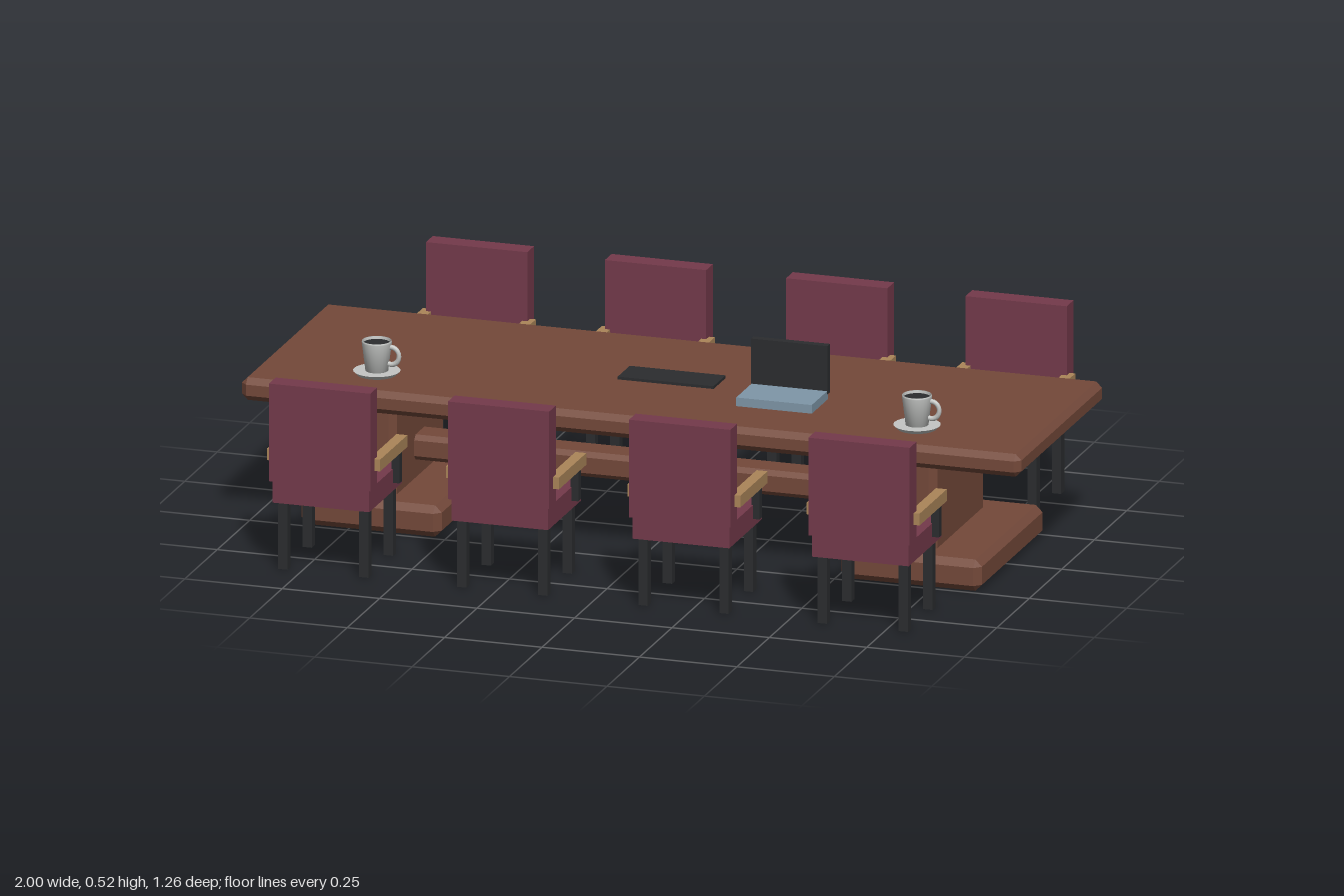
import * as THREE from 'three';
import { ConvexGeometry } from 'three/addons/geometries/ConvexGeometry.js';

const mat = (name, color) => Object.assign(new THREE.MeshStandardMaterial({ color }), { name });

export function createModel() {
  const wood = mat('brown wood', 0x74493a);
  const fabric = mat('maroon fabric', 0x743a4b);
  const oak = mat('light wood', 0xab8559);
  const black = mat('black', 0x2b2d2f);
  const steel = mat('blue grey', 0x7f97a8);
  const china = mat('pale china', 0xc4c6c4);

  const add = (parent, name, geometry, material, x = 0, y = 0, z = 0) => {
    const mesh = new THREE.Mesh(geometry, material);
    mesh.name = name;
    mesh.position.set(x, y, z);
    parent.add(mesh);
    return mesh;
  };

  // Plain box given by its limits on each axis
  const box = (parent, name, material, [x0, x1], [y0, y1], [z0, z1]) =>
    add(parent, name, new THREE.BoxGeometry(x1 - x0, y1 - y0, z1 - z0), material,
      (x0 + x1) / 2, (y0 + y1) / 2, (z0 + z1) / 2);

  // Box with every edge cut at 45 degrees
  const chamferBox = (w, h, d, c) => {
    const points = [];
    for (const sx of [-1, 1]) for (const sy of [-1, 1]) for (const sz of [-1, 1]) {
      const x = w / 2, y = h / 2, z = d / 2;
      for (const [px, py, pz] of [[x, y - c, z - c], [x - c, y, z - c], [x - c, y - c, z]]) {
        points.push(new THREE.Vector3(sx * px, sy * py, sz * pz));
      }
    }
    return new ConvexGeometry(points);
  };

  const model = new THREE.Group();
  model.name = 'meetingTable';

  // Table: top, two pedestals on wide feet, and a stretcher
  const table = new THREE.Group();
  table.name = 'table';
  model.add(table);
  add(table, 'tableTop', chamferBox(2, 0.058, 0.65, 0.015), wood, 0, 0.356, 0);
  for (const side of [-1, 1]) {
    add(table, 'pedestal', chamferBox(0.093, 0.275, 0.386, 0.017), wood, side * 0.693, 0.2, 0);
    add(table, 'foot', chamferBox(0.36, 0.08, 0.5, 0.017), wood, side * 0.693, 0.04, 0);
  }
  add(table, 'stretcher', chamferBox(1.34, 0.064, 0.09, 0.012), wood, 0, 0.158, 0);

  // Chair with its back towards +z
  const makeChair = () => {
    const chair = new THREE.Group();
    chair.name = 'chair';
    box(chair, 'seat', fabric, [-0.124, 0.124], [0.174, 0.23], [0.368, 0.62]);
    box(chair, 'backrest', fabric, [-0.13, 0.13], [0.231, 0.48], [0.578, 0.63]);
    for (const s of [-1, 1]) {
      for (const z of [0.401, 0.589]) {
        add(chair, 'leg', new THREE.BoxGeometry(0.024, 0.175, 0.024), black, s * 0.104, 0.0875, z);
      }
      add(chair, 'armrest', new THREE.BoxGeometry(0.028, 0.03, 0.21), oak, s * 0.131, 0.289, 0.494);
      add(chair, 'armPost', new THREE.BoxGeometry(0.02, 0.08, 0.02), black, s * 0.131, 0.235, 0.429);
    }
    return chair;
  };
  for (const x of [-0.694, -0.235, 0.23, 0.69]) {
    for (const turn of [0, Math.PI]) {
      const chair = makeChair();
      chair.position.x = x;
      chair.rotation.y = turn;
      model.add(chair);
    }
  }

  // Laptop with upright screen
  const laptop = new THREE.Group();
  laptop.name = 'laptop';
  model.add(laptop);
  box(laptop, 'laptopBase', steel, [0.218, 0.412], [0.386, 0.408], [0.037, 0.16]);
  box(laptop, 'laptopScreen', black, [0.217, 0.413], [0.4, 0.523], [0.022, 0.042]);

  // Flat pad in the middle of the table
  box(model, 'deskPad', black, [-0.125, 0.121], [0.384, 0.392], [-0.05, 0.043]);

  // Cups on saucers, handles towards +x
  const lathe = (profile) =>
    new THREE.LatheGeometry(profile.map(([r, y]) => new THREE.Vector2(r, y)), 24);
  for (const x of [-0.695, 0.691]) {
    const cup = new THREE.Group();
    cup.name = 'cupAndSaucer';
    cup.position.set(x, 0.385, 0.187);
    model.add(cup);
    add(cup, 'saucer', new THREE.CylinderGeometry(0.058, 0.048, 0.01, 24), china, 0, 0.005, 0);
    add(cup, 'cup', lathe([[0, 0.01], [0.028, 0.01], [0.037, 0.082], [0.036, 0.086],
      [0.034, 0.086], [0.033, 0.07]]), china);
    const coffee = add(cup, 'coffee', new THREE.CircleGeometry(0.0338, 24), black, 0, 0.079, 0);
    coffee.rotation.x = -Math.PI / 2;
    const handle = add(cup, 'handle', new THREE.TorusGeometry(0.02, 0.006, 8, 20), china, 0.037, 0.05, 0);
    handle.scale.y = 1.1;
  }

  return model;
}
